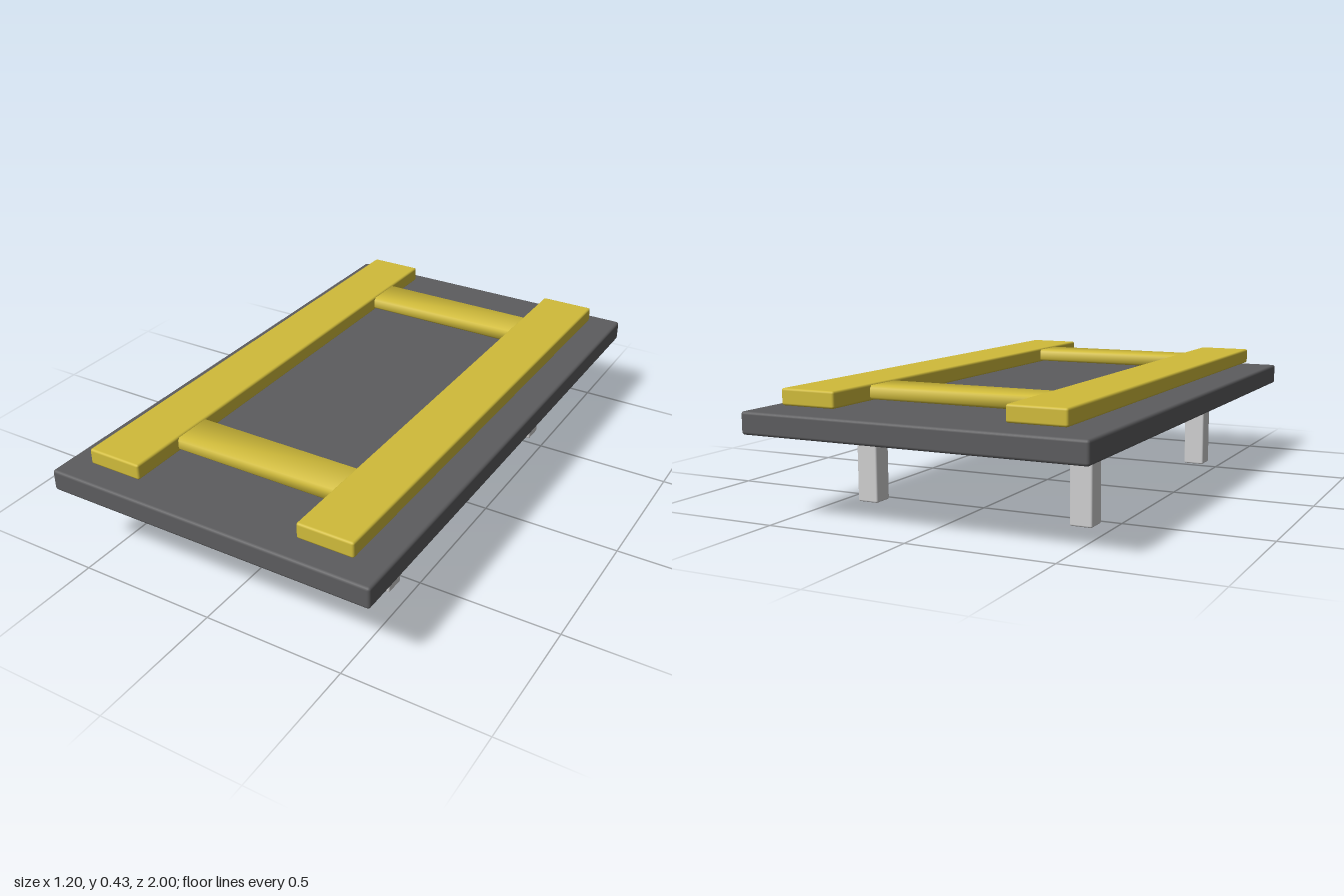
import * as THREE from 'three';
import { toCreasedNormals } from 'three/addons/utils/BufferGeometryUtils.js';
import { RoundedBoxGeometry } from 'three/addons/geometries/RoundedBoxGeometry.js';

const yellow = new THREE.MeshStandardMaterial({ name: 'yellow', color: 0xd0bb3a });
const darkGrey = new THREE.MeshStandardMaterial({ name: 'darkGrey', color: 0x5c5c5e });
const lightGrey = new THREE.MeshStandardMaterial({ name: 'lightGrey', color: 0xcfcfd0 });

// Box with softened edges, placed by its centre
function softBox(name, size, position, radius, material) {
  const mesh = new THREE.Mesh(new RoundedBoxGeometry(...size, 2, radius), material);
  mesh.name = name;
  mesh.position.set(...position);
  return mesh;
}

// Bar along x with square-cut ends and a chamfered section
function crossBar(name, length, height, depth, position) {
  const c = 0.008, w = depth / 2, h = height / 2;
  const section = new THREE.Shape([
    [-w + c, -h], [w - c, -h], [w, -h + c], [w, h - c],
    [w - c, h], [-w + c, h], [-w, h - c], [-w, -h + c],
  ].map(([x, y]) => new THREE.Vector2(x, y)));
  const geometry = new THREE.ExtrudeGeometry(section, { depth: length, bevelEnabled: false });
  geometry.translate(0, 0, -length / 2);
  geometry.rotateY(Math.PI / 2);
  const mesh = new THREE.Mesh(toCreasedNormals(geometry, Math.PI / 3), yellow);
  mesh.name = name;
  mesh.position.set(...position);
  return mesh;
}

export function createModel() {
  const model = new THREE.Group();
  model.name = 'lowPlatform';

  // Deck
  model.add(softBox('deck', [1.2, 0.076, 2], [0, 0.322, 0], 0.01, darkGrey));

  for (const [side, sx] of [['Left', 1], ['Right', -1]]) {
    // Long rails above the deck
    model.add(softBox('rail' + side, [0.2, 0.056, 1.84], [sx * 0.4, 0.402, 0], 0.008, yellow));
    // Legs run through the deck to the rails
    for (const [end, sz] of [['Front', 1], ['Back', -1]]) {
      model.add(softBox('leg' + end + side, [0.078, 0.385, 0.076],
        [sx * 0.4, 0.1925, sz * 0.562], 0.006, lightGrey));
    }
  }

  // Cross bars between the rails
  for (const [end, sz] of [['Front', 1], ['Back', -1]]) {
    model.add(crossBar('crossBar' + end, 0.604, 0.046, 0.154, [0, 0.402, sz * 0.64]));
  }
  return model;
}
